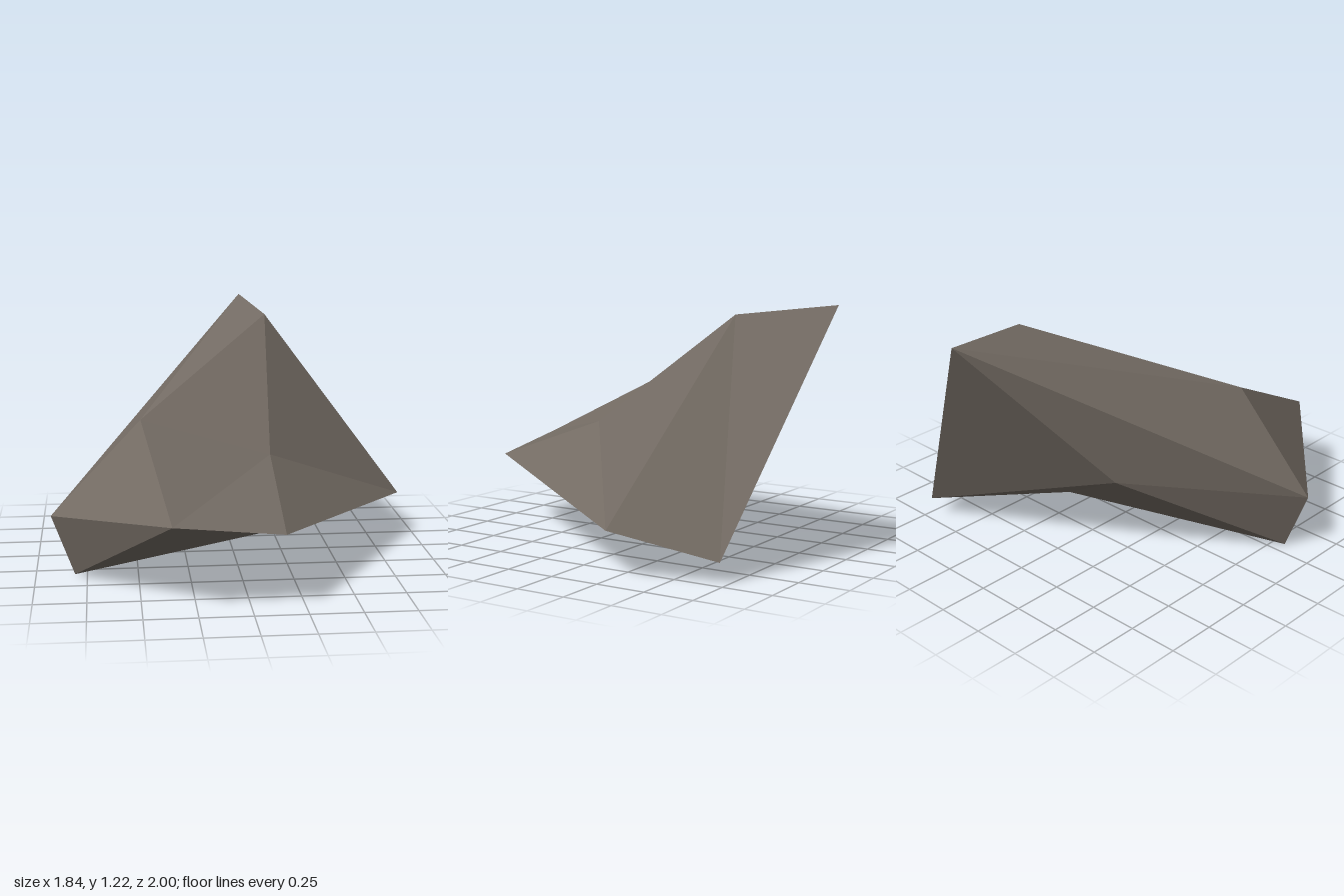
import * as THREE from 'three';

export function createModel() {
  const group = new THREE.Group();
  group.name = 'boulder';

  const stone = new THREE.MeshStandardMaterial({ color: 0x736b63 });
  stone.name = 'stone grey brown';
  stone.flatShading = true;

  // Corners of the rock
  const corners = {
    A: [0.13, 1.22, -1.0],    // peak at the back
    B: [0.22, 1.165, -0.51],  // front of the ridge
    C: [-0.48, 0.77, 0.33],   // right shoulder
    D: [-0.92, 0.305, 0.34],  // right tip
    E: [-0.365, 0.42, 1.0],   // front tip
    F: [0.15, 0.36, 0.95],    // front left tip
    G: [0.915, 0.225, -0.24], // left tip
    H: [0.72, 0.1, -0.72],    // back left foot
    I: [-0.81, 0, 0.32],      // right foot
    J: [0.28, 0.07, -0.14],   // underside
    K: [0.15, 0.585, 0.33],   // hollow of the front slope
    P: [-0.31, 0.455, -0.4],  // hollow of the back
  };

  // Facets, counter-clockwise from outside
  const facets = [
    'ACB', 'CAD', 'CDE',                      // top right
    'CEK', 'EFK', 'KFG', 'KGB', 'KBC',        // front slope
    'BGH', 'BHA',                             // left side
    'AHP', 'APD', 'DPI',                      // back
    'PHJ', 'PJI', 'JHG', 'JGF', 'JFE', 'JEI', // underside
    'IED',                                    // right end
  ];
  const positions = facets.flatMap((f) => [...f].flatMap((k) => corners[k]));

  const geometry = new THREE.BufferGeometry();
  geometry.setAttribute('position', new THREE.Float32BufferAttribute(positions, 3));
  geometry.computeVertexNormals();

  const rock = new THREE.Mesh(geometry, stone);
  rock.name = 'rock';
  group.add(rock);
  return group;
}
